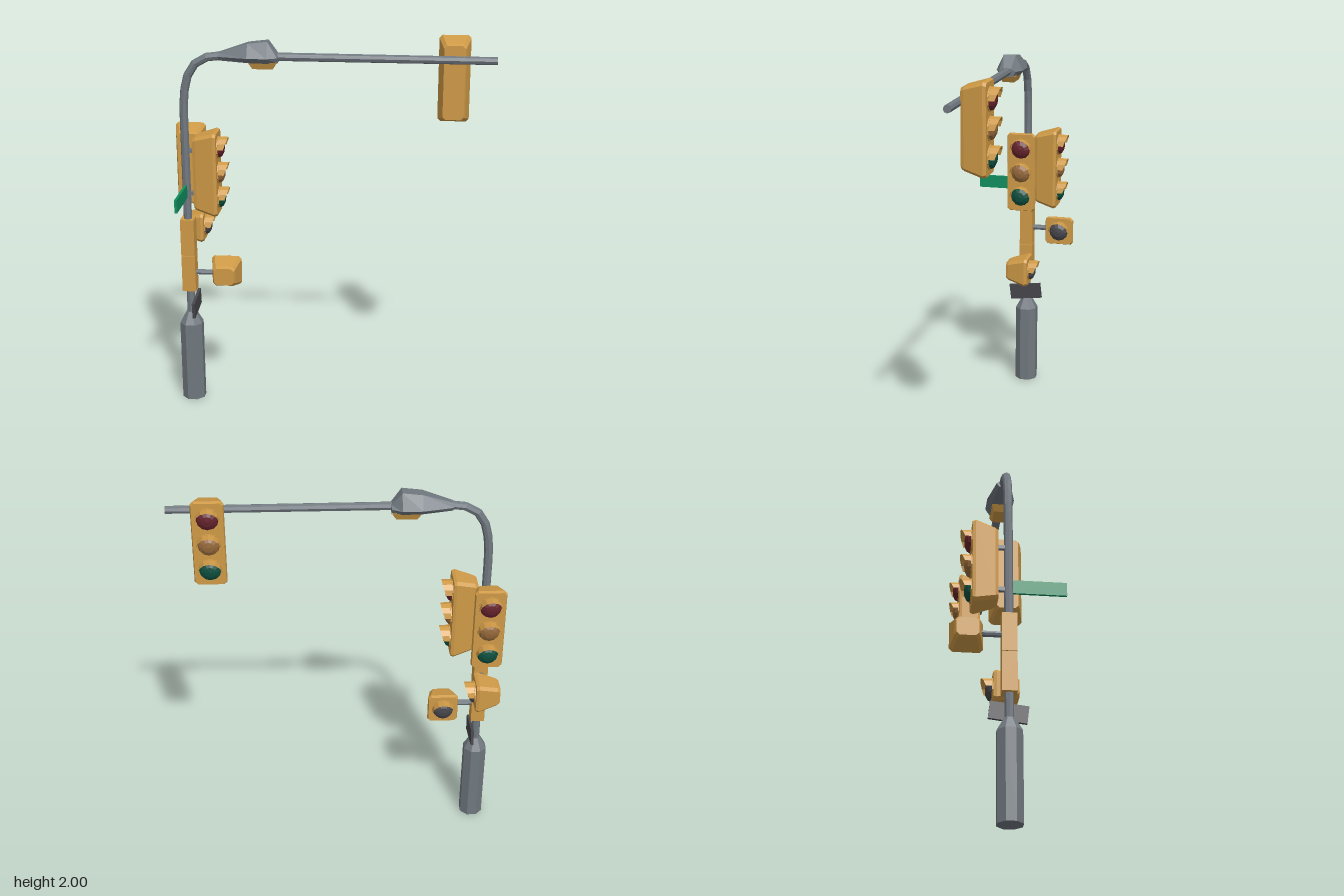
import * as THREE from 'three';

const mat = (name, color, side = THREE.FrontSide) => {
  const m = new THREE.MeshStandardMaterial({ color, flatShading: true, side });
  m.name = name;
  return m;
};

// Closed solid from matching counter-clockwise rings stacked along +z
function loft(rings) {
  const n = rings[0].length, pos = rings.flat(2), idx = [];
  for (let r = 0; r < rings.length - 1; r++) {
    for (let i = 0; i < n; i++) {
      const a = r * n + i, b = r * n + (i + 1) % n;
      idx.push(a, b, b + n, a, b + n, a + n);
    }
  }
  const end = (rings.length - 1) * n;
  for (let i = 1; i < n - 1; i++) {
    idx.push(0, i + 1, i, end, end + i, end + i + 1);
  }
  const g = new THREE.BufferGeometry();
  g.setAttribute('position', new THREE.Float32BufferAttribute(pos, 3));
  g.setIndex(idx);
  const flat = g.toNonIndexed();
  flat.computeVertexNormals();
  return flat;
}

// Rectangle with cut corners
const cutRect = (w, h, c, z) => [
  [w, -h + c, z], [w, h - c, z], [w - c, h, z], [-w + c, h, z],
  [-w, h - c, z], [-w, -h + c, z], [-w + c, -h, z], [w - c, -h, z],
];

export function createModel() {
  const model = new THREE.Group();
  model.name = 'trafficSignalPole';

  const steel = mat('steelGrey', 0x70787f);
  const yellow = mat('signalYellow', 0xcf9a47);
  const visorYellow = yellow.clone();
  visorYellow.side = THREE.DoubleSide;
  const red = mat('redLens', 0x64222b);
  const amber = mat('amberLens', 0x94683a);
  const green = mat('greenLens', 0x0c4f3e);
  const dark = mat('darkGrey', 0x47474c);
  const signGreen = mat('signGreen', 0x108f60);

  const add = (parent, name, geo, material, x = 0, y = 0, z = 0) => {
    const m = new THREE.Mesh(geo, material);
    m.name = name;
    m.position.set(x, y, z);
    parent.add(m);
    return m;
  };

  const PX = -0.75; // pole position

  // Base with tapered collar
  const base = [[0, 0], [0.064, 0], [0.064, 0.44], [0.027, 0.505], [0, 0.505]]
    .map(p => new THREE.Vector2(...p));
  add(model, 'base', new THREE.LatheGeometry(base, 8, Math.PI / 8), steel, PX);

  // Pole, bend and arm
  add(model, 'pole', new THREE.CylinderGeometry(0.022, 0.022, 1.1, 8), steel, PX, 1.04);
  const bend = new THREE.CubicBezierCurve3(
    new THREE.Vector3(PX, 1.58, 0), new THREE.Vector3(PX, 1.8, 0),
    new THREE.Vector3(-0.71, 1.9, 0), new THREE.Vector3(-0.55, 1.9, 0));
  add(model, 'bend', new THREE.TubeGeometry(bend, 6, 0.022, 8), steel);
  const arm = add(model, 'arm', new THREE.CylinderGeometry(0.02, 0.022, 1.39, 8), steel, 0.135, 1.9, 0);
  arm.rotation.z = -Math.PI / 2;

  // Street lamp head, lofted along the arm: [x, half width, top, bottom]
  const lampRings = [
    [-0.56, 0.035, 1.918, 1.88], [-0.41, 0.07, 1.968, 1.874],
    [-0.31, 0.07, 1.98, 1.872], [-0.26, 0.045, 1.915, 1.872],
  ].map(([x, w, t, b]) => [
    [w * 0.65, b, x], [w, 1.9, x], [w * 0.45, t, x],
    [-w * 0.45, t, x], [-w, 1.9, x], [-w * 0.65, b, x],
  ]);
  add(model, 'lampHead', loft(lampRings), steel).rotation.y = Math.PI / 2;
  const lens = new THREE.CylinderGeometry(Math.SQRT2, Math.SQRT2 * 0.7, 1, 4)
    .rotateY(Math.PI / 4).scale(0.073, 0.036, 0.045);
  add(model, 'lampLens', lens, yellow, -0.335, 1.859, 0);

  // Visor: half tube with a slanted front edge
  const visorGeo = new THREE.CylinderGeometry(0.057, 0.057, 1, 6, 1, true, Math.PI / 2, Math.PI)
    .rotateX(Math.PI / 2);
  const vp = visorGeo.attributes.position;
  for (let i = 0; i < vp.count; i++) {
    vp.setZ(i, vp.getZ(i) > 0 ? 0.033 + 0.02 * vp.getY(i) / 0.057 : -0.002);
  }
  const bezelGeo = new THREE.CylinderGeometry(0.06, 0.06, 0.008, 10).rotateX(Math.PI / 2);
  const domeGeo = new THREE.SphereGeometry(0.054, 12, 3, 0, Math.PI * 2, 0, Math.PI / 2)
    .rotateX(Math.PI / 2).scale(1, 1, 0.55);

  // Signal head facing local +z with its back at z = 0
  const signal = (name, lenses, halfH, x, y, z, turn) => {
    const g = new THREE.Group();
    g.name = name;
    g.position.set(x, y, z);
    g.rotation.y = turn;
    model.add(g);
    add(g, 'housing', loft([
      cutRect(0.053, halfH - 0.034, 0.015, 0),
      cutRect(0.06, halfH - 0.026, 0.015, 0.015),
      cutRect(0.08, halfH, 0.015, 0.11),
      cutRect(0.075, halfH - 0.006, 0.014, 0.125),
    ]), yellow);
    lenses.forEach((material, i) => {
      const ly = ((lenses.length - 1) / 2 - i) * 0.135;
      add(g, 'bezel', bezelGeo, yellow, 0, ly, 0.127);
      add(g, 'lens', domeGeo, material, 0, ly, 0.13);
      add(g, 'visor', visorGeo, visorYellow, 0, ly, 0.127);
    });
  };
  const rag = [red, amber, green];
  signal('armSignal', rag, 0.222, 0.62, 1.78, -0.015, Math.PI);
  signal('backSignal', rag, 0.222, PX, 1.287, -0.053, Math.PI);
  signal('sideSignal', rag, 0.222, -0.703, 1.287, 0, Math.PI / 2);
  signal('sideWalkSignal', [dark], 0.08, -0.82, 0.93, -0.197, Math.PI / 2);
  signal('backWalkSignal', [dark], 0.08, -0.557, 0.73, 0.066, Math.PI);

  // Mounting bars and brackets
  const barZ = add(model, 'walkBar', new THREE.CylinderGeometry(0.015, 0.015, 0.14, 8), steel, PX, 0.93, -0.07);
  barZ.rotation.x = Math.PI / 2;
  const barX = add(model, 'walkBar', new THREE.CylinderGeometry(0.015, 0.015, 0.14, 8), steel, -0.68, 0.73, 0);
  barX.rotation.z = Math.PI / 2;
  for (const y of [1.17, 1.4]) {
    add(model, 'signalBracket', new THREE.BoxGeometry(0.02, 0.02, 0.06), steel, PX, y, -0.035);
    add(model, 'signalBracket', new THREE.BoxGeometry(0.06, 0.02, 0.02), steel, -0.718, y, 0);
  }

  // Control boxes
  for (const y of [0.729, 0.931]) {
    add(model, 'controlBox', new THREE.BoxGeometry(0.072, 0.199, 0.072), yellow, PX, y, 0);
  }

  // Street sign and tilted plate
  add(model, 'streetSign', new THREE.BoxGeometry(0.013, 0.07, 0.265), signGreen, PX, 1.185, 0.147);
  const plate = add(model, 'darkPlate', new THREE.BoxGeometry(0.015, 0.087, 0.182), dark, -0.72, 0.547, 0);
  plate.rotation.x = 0.117;

  return model;
}
